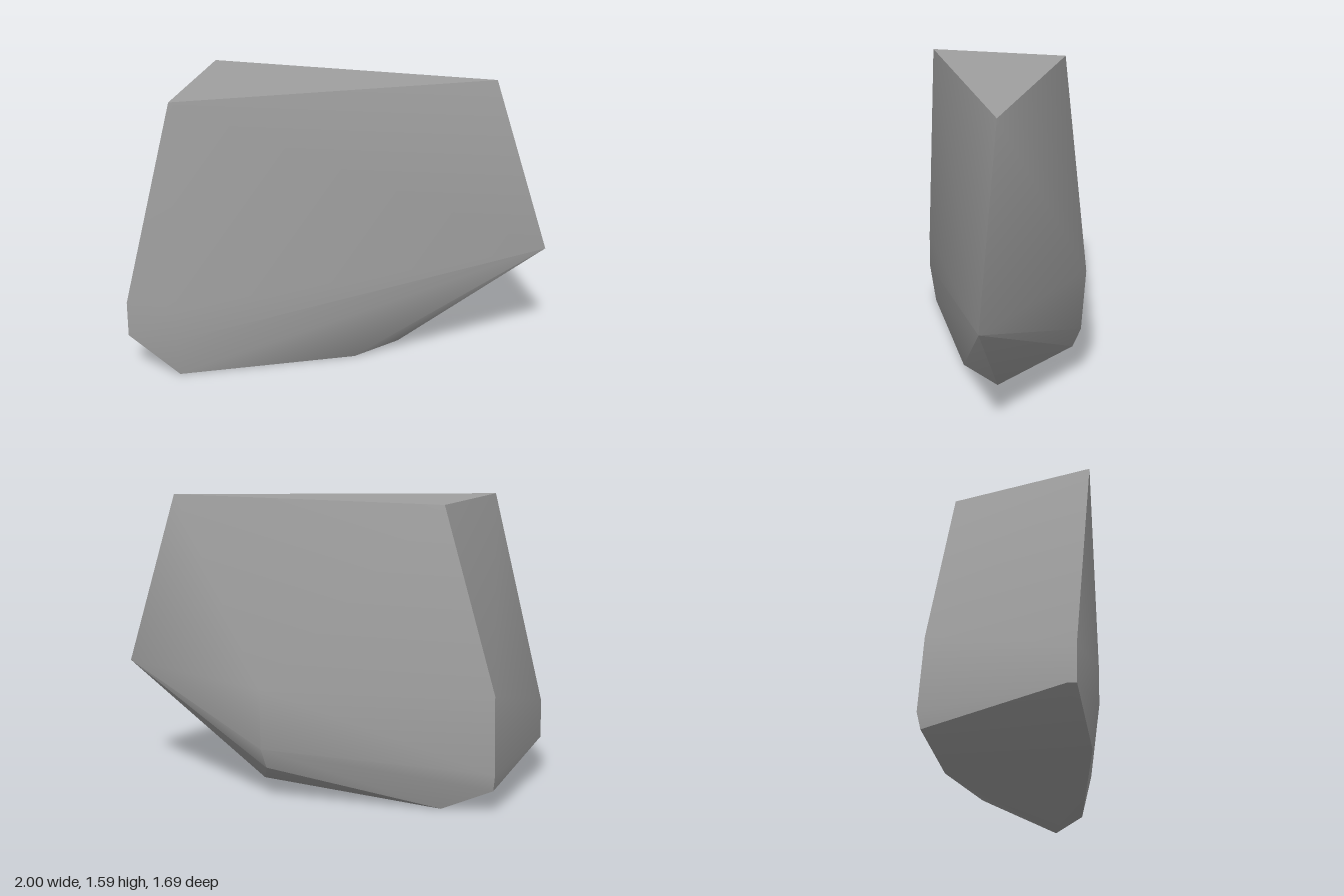
import * as THREE from 'three';
import { ConvexGeometry } from 'three/addons/geometries/ConvexGeometry.js';
import { toCreasedNormals } from 'three/addons/utils/BufferGeometryUtils.js';

export function createModel() {
  const group = new THREE.Group();
  group.name = 'rock';
  const stone = new THREE.MeshStandardMaterial({ color: 0xa0a0a0 });
  stone.name = 'grey stone';

  // Corners of the boulder, grouped by region
  const corners = [
    // flat top
    [-0.73, 1.59, -0.03], [-0.39, 1.59, 0.69], [0.71, 1.59, -0.71],
    // pointed end
    [1.0, 0.63, -0.845],
    // left shoulder
    [-0.98, 0.63, 0.1], [-1.0, 0.22, 0.09], [-0.98, 0.13, 0.1],
    // front nose
    [-0.625, 0.43, 0.845], [-0.625, 0.23, 0.845], [-0.66, 0.23, 0.81],
    // bevel beside the nose
    [-0.37, 0.43, 0.72], [-0.37, 0.23, 0.72],
    // back ridge
    [-0.05, 0.62, -0.7], [-0.035, 0.29, -0.685], [-0.024, 0.18, -0.64],
    // flat base
    [-0.73, 0, -0.03], [-0.39, 0, 0.69], [0.24, 0, -0.09], [0.32, 0, -0.4],
  ].map((p) => new THREE.Vector3(...p));

  // Shallow bends are smooth, strong edges stay sharp
  const geometry = toCreasedNormals(new ConvexGeometry(corners), THREE.MathUtils.degToRad(40));
  const boulder = new THREE.Mesh(geometry, stone);
  boulder.name = 'boulder';
  group.add(boulder);
  return group;
}
